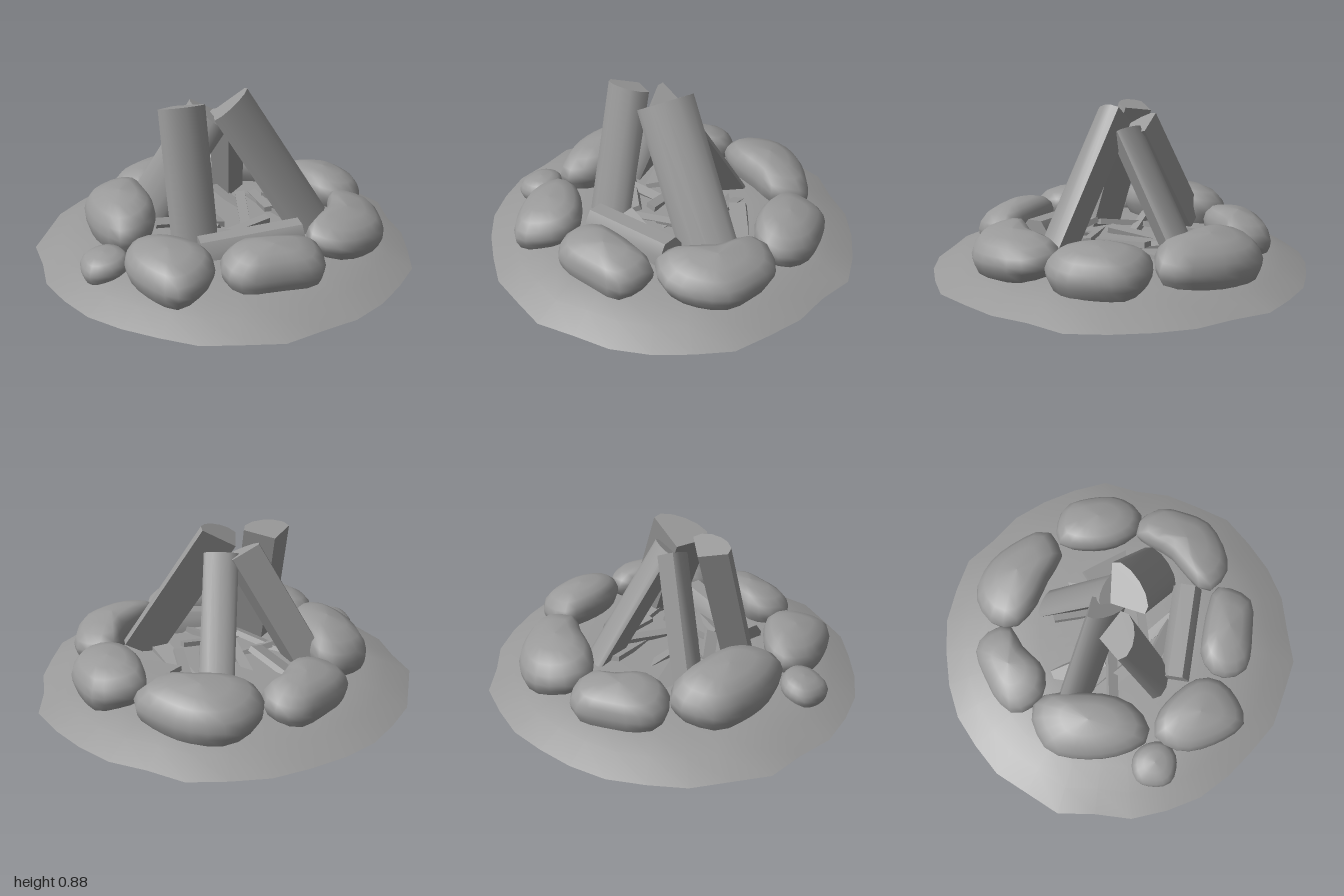
import * as THREE from 'three';
import { toCreasedNormals } from 'three/addons/utils/BufferGeometryUtils.js';

const material = new THREE.MeshStandardMaterial({ color: 0x999999 });
const sheetMaterial = new THREE.MeshStandardMaterial({ color: 0x999999, side: THREE.DoubleSide });

// Skin a stack of equal-length closed rings, each running clockwise seen from above
function loft(rings) {
  const n = rings[0].length, index = [];
  for (let i = 0; i < rings.length - 1; i++) {
    for (let j = 0; j < n; j++) {
      const a = i * n + j, b = i * n + (j + 1) % n;
      index.push(a, a + n, b + n, a, b + n, b);
    }
  }
  const geometry = new THREE.BufferGeometry();
  geometry.setAttribute('position', new THREE.Float32BufferAttribute(rings.flat(2), 3));
  geometry.setIndex(index);
  geometry.computeVertexNormals();
  return geometry;
}

function addMesh(group, name, geometry, mat = material) {
  const mesh = new THREE.Mesh(geometry, mat);
  mesh.name = name;
  group.add(mesh);
}

// Rounded stone swelling out to a plan outline of [x, z] points; it tilts down outwards
// with the mound, and its underside is sunk through the earth
const STONE_PROFILE = [[0, 0], [0.42, 0.02], [0.68, 0.13], [0.88, 0.31], [0.98, 0.5], [1, 0.62], [0.94, 0.76], [0.78, 0.89], [0.48, 0.97], [0, 1]];
const STONE_TILT = 0.15;
function stone(outline, yMin, yMax) {
  const curve = new THREE.CatmullRomCurve3(outline.map(([x, z]) => new THREE.Vector3(x, 0, z)), true, 'centripetal');
  const points = curve.getSpacedPoints(20).slice(0, 20);
  const centre = points.reduce((sum, p) => sum.add(p), new THREE.Vector3()).divideScalar(20);
  return loft(STONE_PROFILE.map(([s, h]) => points.map((p) => {
    const x = centre.x + (p.x - centre.x) * s, z = centre.z + (p.z - centre.z) * s;
    return [x, yMin + (yMax - yMin) * h - STONE_TILT * (Math.hypot(x, z) - centre.length()), z];
  })));
}

// Straight piece with a given section, extruded from base to top and rolled about its axis
function beam(base, top, section, roll = 0) {
  const from = new THREE.Vector3(...base);
  const axis = new THREE.Vector3(...top).sub(from);
  const shape = new THREE.Shape(section.map(([u, v]) => new THREE.Vector2(u, v)));
  const geometry = new THREE.ExtrudeGeometry(shape, { depth: axis.length(), bevelEnabled: false });
  axis.normalize();
  const side = new THREE.Vector3(0, 1, 0).cross(axis).normalize();
  const out = axis.clone().cross(side);
  geometry.rotateZ(roll);
  geometry.applyMatrix4(new THREE.Matrix4().makeBasis(side, out, axis).setPosition(from));
  return toCreasedNormals(geometry, 0.7);
}

// Split-log section: curved bark on +v, two cut faces meeting on -v
const wedge = (w, bark, depth) => [
  [w, 0], [w * 0.85, bark * 0.55], [w * 0.45, bark * 0.9], [0, bark],
  [-w * 0.45, bark * 0.9], [-w * 0.85, bark * 0.55], [-w, 0], [w * 0.1, -depth],
];
// Log section with a curved top and a flat cut underside
const halfLog = (w, h) => [[w, -h], [w, h * 0.4], [w * 0.5, h], [-w * 0.5, h], [-w, h * 0.4], [-w, -h]];
const plank = (w, h) => [[w, -h], [w * 0.8, h], [-w, h * 0.7], [-w * 0.9, -h]];

export function createModel() {
  const model = new THREE.Group();
  model.name = 'campfire';

  // Low earth mound, open underneath
  const radii = [
    1, 1, 0.985, 1.015, 0.99, 1, 0.98, 0.985, 1, 1, 1.01, 0.99, 1.03, 1, 1.01, 0.995,
    1, 0.99, 0.985, 1, 1, 1.02, 0.98, 1, 1, 1.01, 1.03, 0.975, 0.99, 0.99, 1.02, 1,
  ];
  const moundProfile = [[1, 0.02], [0.87, 0.08], [0.75, 0.118], [0.6, 0.145], [0.45, 0.152], [0.2, 0.15], [0, 0.15]];
  addMesh(model, 'earthMound', loft(moundProfile.map(([s, y]) => radii.map((r, j) => {
    const a = j / radii.length * Math.PI * 2;
    return [Math.cos(a) * r * s, y, Math.sin(a) * r * s];
  }))), sheetMaterial);

  // Ring of stones
  const stones = new THREE.Group();
  stones.name = 'stoneRing';
  model.add(stones);
  addMesh(stones, 'backRightStone', stone([[-0.08, -0.55], [-0.2, -0.46], [-0.37, -0.32], [-0.51, -0.28], [-0.6, -0.35],
    [-0.63, -0.45], [-0.61, -0.58], [-0.48, -0.7], [-0.3, -0.75], [-0.09, -0.74], [-0.07, -0.66]], 0.01, 0.32));
  addMesh(stones, 'backStone', stone([[-0.06, -0.63], [-0.03, -0.73], [0.07, -0.83], [0.2, -0.82], [0.38, -0.74],
    [0.45, -0.6], [0.4, -0.5], [0.27, -0.46], [0.1, -0.5]], 0.03, 0.31));
  addMesh(stones, 'backLeftStone', stone([[0.36, -0.47], [0.4, -0.54], [0.56, -0.57], [0.68, -0.48], [0.78, -0.35],
    [0.77, -0.13], [0.7, -0.02], [0.55, 0.02], [0.5, -0.12], [0.47, -0.28]], 0.05, 0.31));
  addMesh(stones, 'frontLeftStone', stone([[0.52, 0.1], [0.62, 0.02], [0.76, 0.16], [0.68, 0.33], [0.52, 0.52],
    [0.37, 0.48], [0.34, 0.35], [0.42, 0.22]], 0.03, 0.31));
  addMesh(stones, 'frontStone', stone([[-0.09, 0.62], [-0.03, 0.53], [0.1, 0.47], [0.28, 0.45], [0.38, 0.52],
    [0.41, 0.67], [0.38, 0.77], [0.2, 0.8], [0, 0.75]], 0.03, 0.3));
  addMesh(stones, 'smallStone', stone([[-0.28, 0.74], [-0.24, 0.66], [-0.15, 0.63], [-0.05, 0.67], [-0.03, 0.76],
    [-0.1, 0.86], [-0.16, 0.87], [-0.27, 0.8]], 0.04, 0.21));
  addMesh(stones, 'frontRightStone', stone([[-0.65, 0.33], [-0.62, 0.2], [-0.54, 0.16], [-0.35, 0.24], [-0.17, 0.36],
    [-0.1, 0.48], [-0.12, 0.62], [-0.3, 0.63], [-0.5, 0.55], [-0.63, 0.44]], 0.03, 0.36));
  addMesh(stones, 'rightStone', stone([[-0.77, -0.05], [-0.75, -0.26], [-0.67, -0.32], [-0.53, -0.3], [-0.51, -0.15],
    [-0.46, 0.03], [-0.54, 0.16], [-0.7, 0.17], [-0.76, 0.07]], 0.03, 0.3));

  // Split logs leaning together, and one lying on the earth
  const logs = new THREE.Group();
  logs.name = 'logs';
  model.add(logs);
  addMesh(logs, 'backLeftLog', beam([0.39, 0.16, -0.24], [0.05, 0.83, 0.02], wedge(0.15, 0.065, 0.12), -0.6));
  addMesh(logs, 'frontRightLog', beam([-0.38, 0.16, 0.23], [-0.08, 0.75, 0.04], wedge(0.13, 0.05, 0.1), 1.2));
  addMesh(logs, 'frontLog', beam([0.075, 0.12, 0.32], [-0.1, 0.835, 0.22], wedge(0.125, 0.075, 0.1)));
  addMesh(logs, 'backRightLog', beam([-0.28, 0.14, -0.35], [-0.03, 0.75, -0.05], wedge(0.09, 0.03, 0.13)));
  addMesh(logs, 'lyingLog', beam([0.16, 0.14, 0.38], [0.47, 0.18, -0.05], halfLog(0.08, 0.095)));

  // Loose splinters half sunk in the earth: [x1, z1, x2, z2, half width]
  const splinters = new THREE.Group();
  splinters.name = 'splinters';
  model.add(splinters);
  [
    [-0.18, -0.37, 0.3, -0.21, 0.05], [-0.01, -0.37, 0.28, -0.4, 0.05], [-0.43, 0.07, -0.14, 0.1, 0.05],
    [-0.28, -0.24, 0.1, -0.14, 0.03], [0.1, 0.1, 0.37, 0.04, 0.03], [0.12, 0.22, 0.42, -0.02, 0.035],
    [-0.3, -0.1, 0.05, 0.1, 0.03], [-0.1, -0.25, 0.2, 0.05, 0.03], [-0.25, 0.25, 0.1, 0.18, 0.035],
    [0.2, -0.12, 0.05, 0.3, 0.025], [-0.15, -0.4, 0.15, -0.2, 0.03], [-0.2, 0.34, -0.05, 0.02, 0.03],
  ].forEach(([x1, z1, x2, z2, w], i) => {
    const y = 0.15 + (i % 3) * 0.008, lift = i % 2 ? -0.025 : 0.025;
    addMesh(splinters, 'splinter', beam([x1, y - lift, z1], [x2, y + lift, z2], plank(w, 0.015), (i % 3 - 1) * 0.25));
  });

  return model;
}
